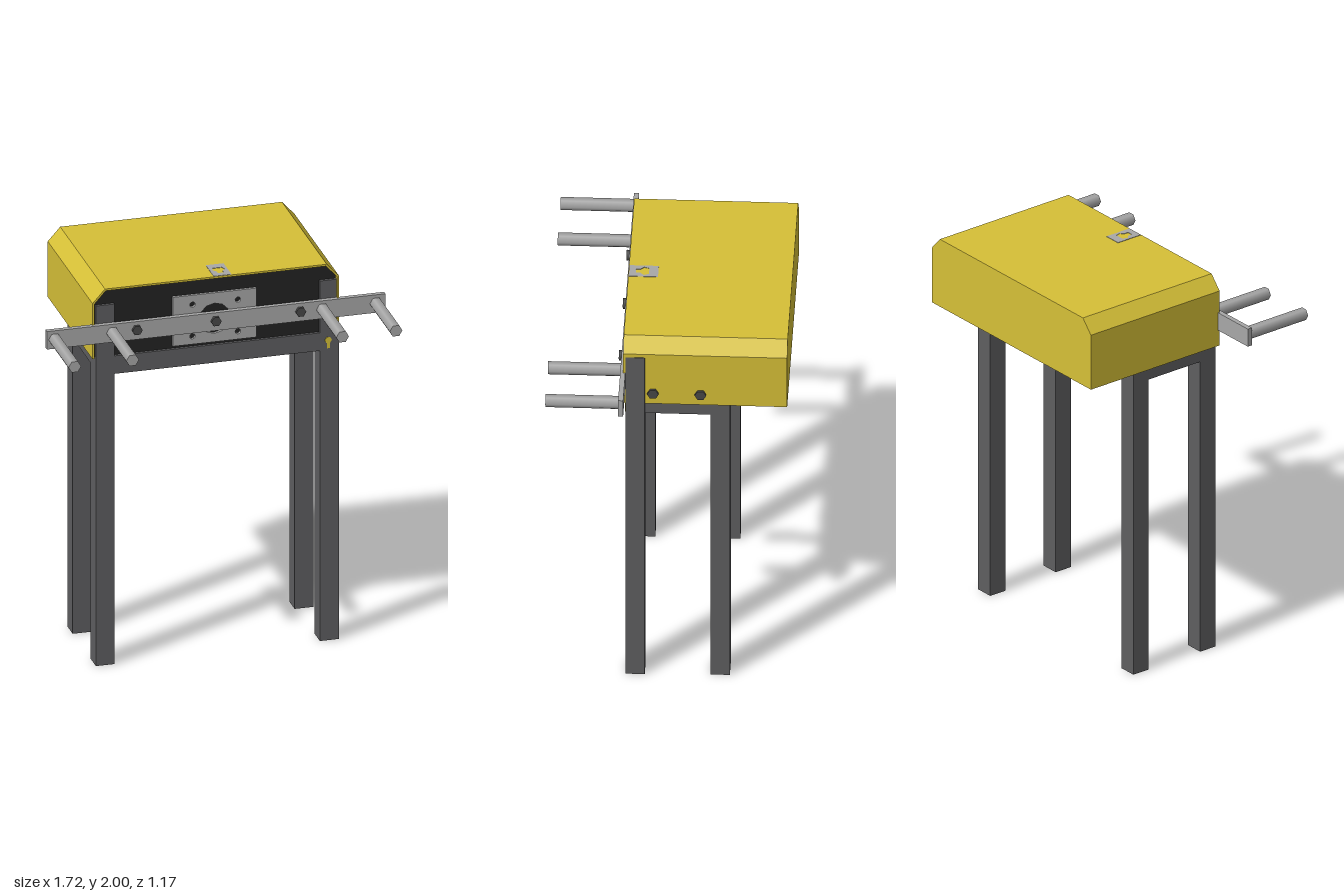
import * as THREE from 'three';

export function createModel() {
  const model = new THREE.Group();
  const material = (name, color, side = THREE.FrontSide) => {
    const m = new THREE.MeshStandardMaterial({ color, side });
    m.name = name;
    return m;
  };
  const yellow = material('yellow paint', 0xd6c037);
  const steel = material('dark grey steel', 0x5e5e60);
  const black = material('black panel', 0x232323);
  const metal = material('light grey metal', 0xa8a8a8);
  const boltGrey = material('bolt grey', 0x484848);

  const add = (name, geometry, mat) => {
    const mesh = new THREE.Mesh(geometry, mat);
    mesh.name = name;
    model.add(mesh);
    return mesh;
  };
  // Box given by its lower and upper limits on each axis
  const box = (name, mat, x0, x1, y0, y1, z0, z1) =>
    add(name, new THREE.BoxGeometry(x1 - x0, y1 - y0, z1 - z0), mat)
      .position.set((x0 + x1) / 2, (y0 + y1) / 2, (z0 + z1) / 2);
  const shapeOf = (points) => new THREE.Shape(points.map(([x, y]) => new THREE.Vector2(x, y)));
  const extrude = (shape, depth) =>
    new THREE.ExtrudeGeometry(shape, { depth, bevelEnabled: false, curveSegments: 6 });
  const circle = (x, y, r) => new THREE.Path().absarc(x, y, r, 0, Math.PI * 2, true);
  // Six-sided rod running along z
  const hexRod = (r, length) =>
    new THREE.CylinderGeometry(r, r, length, 6, 1, false, Math.PI / 6).rotateX(Math.PI / 2);

  // Legs: the front pair reaches up inside the cover
  box('frontLegRight', steel, -0.605, -0.51, 0, 1.91, 0.11, 0.205);
  box('frontLegLeft', steel, 0.53, 0.627, 0, 1.91, 0.11, 0.205);
  box('backLegRight', steel, -0.605, -0.51, 0, 1.635, -0.305, -0.21);
  box('backLegLeft', steel, 0.52, 0.615, 0, 1.635, -0.305, -0.21);

  // Rails
  box('frontRail', steel, -0.51, 0.53, 1.54, 1.635, 0.11, 0.205);
  box('sideRailRight', steel, -0.605, -0.51, 1.57, 1.635, -0.21, 0.11);
  box('sideRailLeft', steel, 0.52, 0.615, 1.57, 1.635, -0.21, 0.11);

  // Cover: chamfered sheet hood, open at the front and the bottom
  const outer = [[-0.625, 1.635], [0.625, 1.635], [0.625, 1.93], [0.562, 2], [-0.562, 2], [-0.625, 1.93]];
  const t = 0.01;
  const hood = shapeOf([
    [-0.625, 1.635], [-0.625 + t, 1.635], [-0.625 + t, 1.926], [-0.558, 2 - t],
    [0.558, 2 - t], [0.625 - t, 1.926], [0.625 - t, 1.635], [0.625, 1.635],
    [0.625, 1.93], [0.562, 2], [-0.562, 2], [-0.625, 1.93],
  ]);
  add('coverHood', extrude(hood, 0.79), yellow).position.z = -0.575;
  add('coverBack', extrude(shapeOf(outer), t), yellow).position.z = -0.585;

  // Front panel inside the cover
  const panel = shapeOf([[-0.614, 1.635], [0.614, 1.635], [0.614, 1.926], [0.557, 1.989], [-0.557, 1.989], [-0.614, 1.926]]);
  add('frontPanel', extrude(panel, 0.02), black).position.z = 0.17;

  // Mounting plate with centre bore and four screw holes
  const mount = shapeOf([[-0.215, 1.65], [0.21, 1.65], [0.21, 1.91], [-0.215, 1.91]]);
  const bore = new THREE.Path();
  bore.absarc(-0.003, 1.775, 0.08, Math.PI / 2, Math.PI * 2.5, true);
  mount.holes.push(bore);
  for (const x of [-0.115, 0.115]) for (const y of [1.692, 1.86]) mount.holes.push(circle(x, y, 0.014));
  add('mountingPlate', extrude(mount, 0.014), metal).position.z = 0.19;

  // Cross bar with pegs and bolts
  box('crossBar', metal, -0.86, 0.855, 1.72, 1.815, 0.205, 0.23);
  for (const x of [-0.82, -0.527, 0.537, 0.808])
    add('peg', hexRod(0.032, 0.357), metal).position.set(x, 1.77, 0.4075);
  for (const x of [-0.405, -0.005, 0.424])
    add('barBolt', hexRod(0.026, 0.016), boltGrey).position.set(x, 1.773, 0.237);

  // Bolts through the left side of the cover
  for (const z of [0.07, -0.162]) {
    const bolt = add('sideBolt', hexRod(0.028, 0.04), boltGrey);
    bolt.rotation.y = Math.PI / 2;
    bolt.position.set(0.618, 1.698, z);
  }

  // Thin grey tag on top of the cover with a bulb-shaped cut-out
  const tag = shapeOf([[-0.01, -0.212], [0.08, -0.212], [0.08, -0.07], [-0.01, -0.07]]);
  tag.holes.push(new THREE.Path([
    [0.02, -0.18], [0.02, -0.158], [0.003, -0.14], [0.012, -0.115],
    [0.058, -0.115], [0.067, -0.14], [0.05, -0.158], [0.05, -0.18],
  ].map(([x, y]) => new THREE.Vector2(x, y))));
  const topTag = add('topTag', extrude(tag, 0.003), metal);
  topTag.rotation.x = -Math.PI / 2;
  topTag.position.y = 1.999;

  // Small yellow mark on the front left leg
  add('legMarkHead', hexRod(0.018, 0.004), yellow).position.set(0.572, 1.593, 0.206);
  box('legMarkStem', yellow, 0.565, 0.58, 1.55, 1.58, 0.204, 0.208);

  return model;
}
